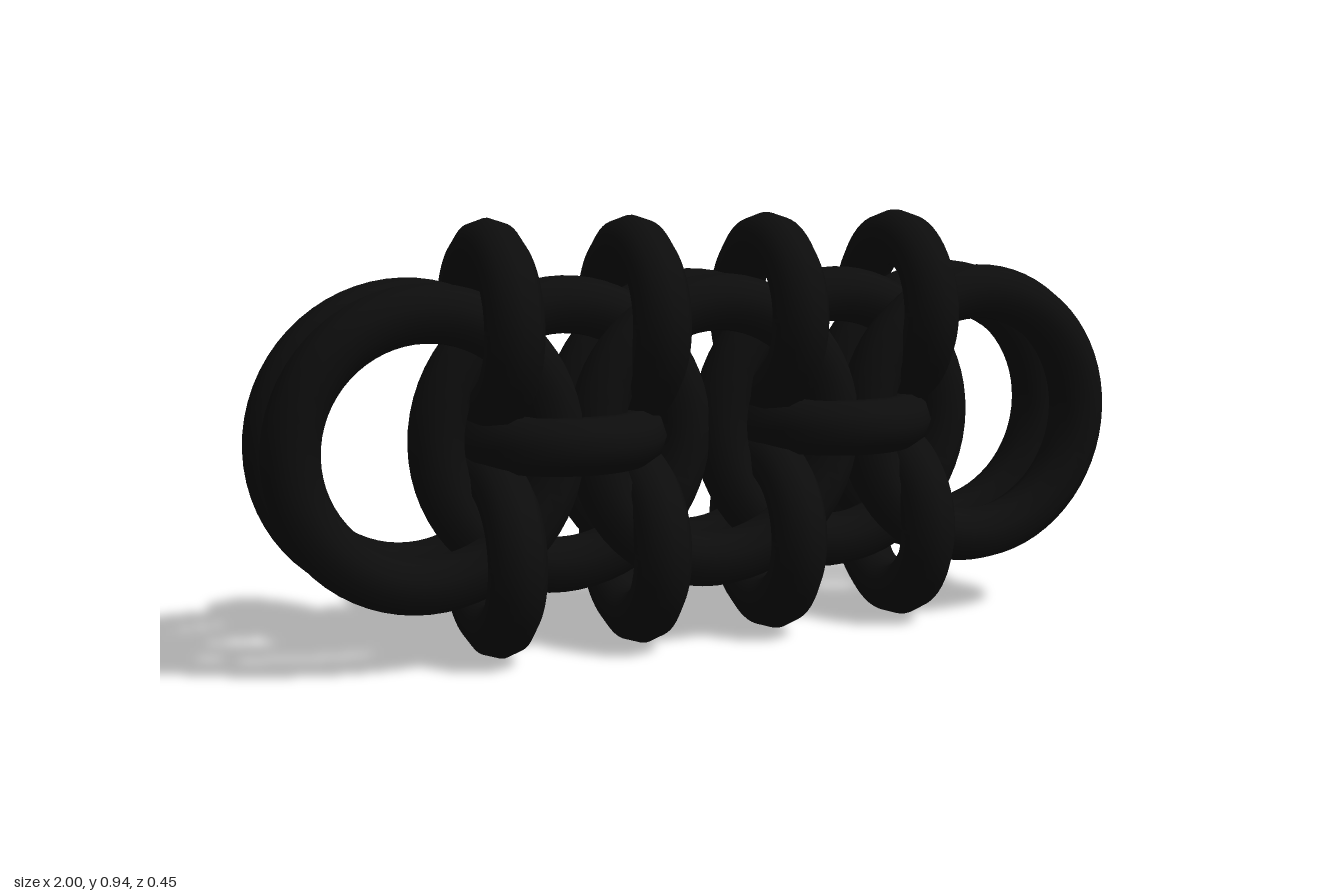
import * as THREE from 'three';

export function createModel() {
  const group = new THREE.Group();
  group.name = 'ringChain';
  const material = new THREE.MeshStandardMaterial({ color: 0x0d0d0d });

  const wire = 0.062;
  const midY = 0.47;
  const largeRing = new THREE.TorusGeometry(0.283, wire, 10, 64);
  const smallRing = new THREE.TorusGeometry(0.163, wire, 10, 64);

  function addRing(name, geometry, x, y, z, rotX = 0, rotY = 0) {
    const ring = new THREE.Mesh(geometry, material);
    ring.name = name;
    ring.position.set(x, y, z);
    ring.rotation.set(rotX, rotY, 0);
    group.add(ring);
  }

  // Paired large rings at the ends and in the middle
  for (const x of [-0.655, 0, 0.655]) {
    for (const side of [-1, 1]) addRing('pairedLargeRing', largeRing, x, midY, side * 0.08);
  }

  for (const side of [-1, 1]) {
    // Single large ring joining two pairs
    addRing('joiningLargeRing', largeRing, side * 0.328, midY, 0);

    // Flat small ring around the middle of each crossing
    addRing('flatSmallRing', smallRing, side * 0.328, midY, 0, Math.PI / 2);

    // Upright small rings binding the large rings above and below
    for (const x of [0.163, 0.49]) {
      for (const dy of [-0.245, 0.245]) {
        addRing('uprightSmallRing', smallRing, side * x, midY + dy, 0, 0, Math.PI / 2);
      }
    }
  }

  return group;
}
